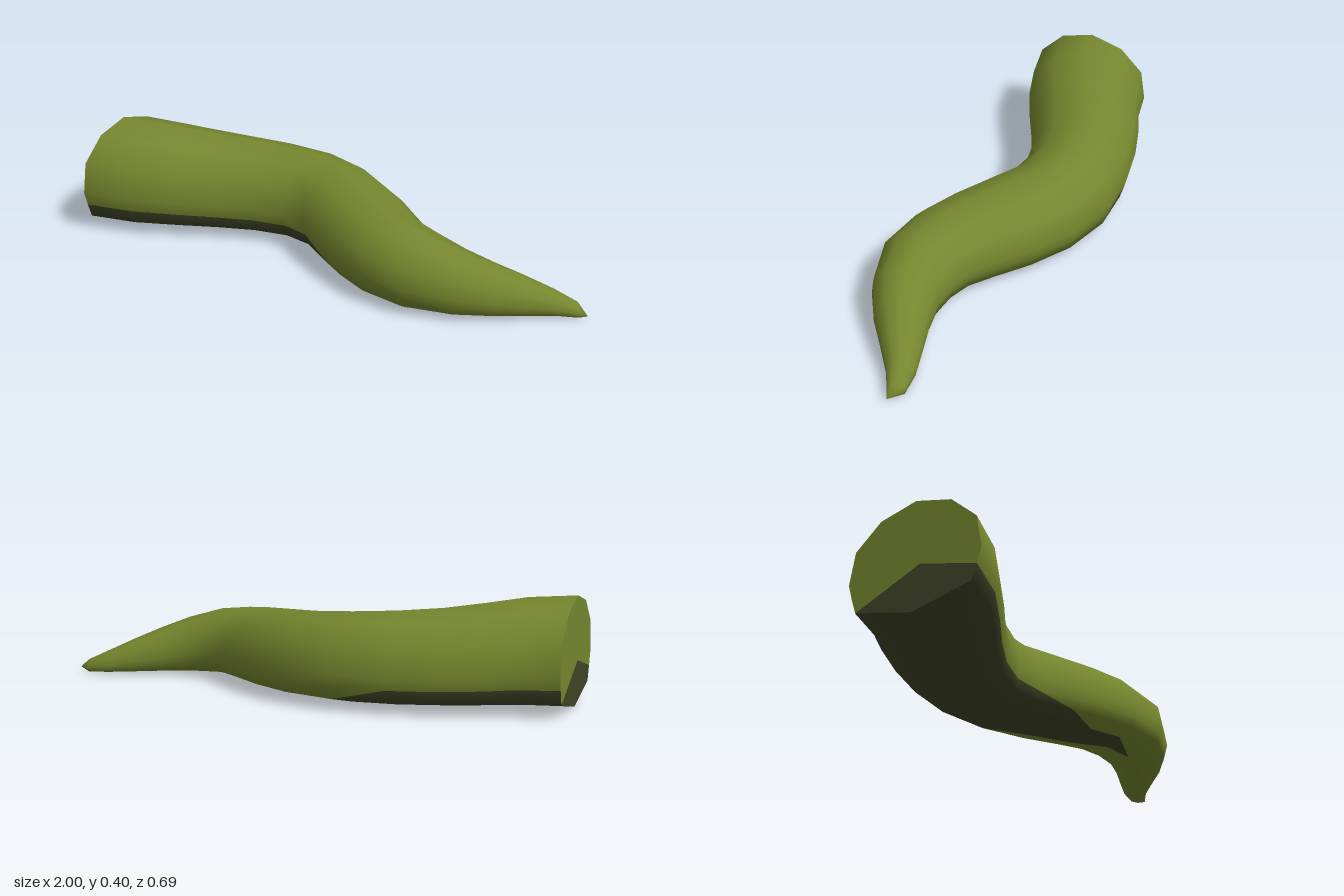
import * as THREE from 'three';

// Stations along the tail: front edge (x, z), back edge (x, z), height of the ridge,
// then the ring level where the dark belly begins on the front and on the back (8 = none)
const STATIONS = [
  [-1.0, 0.26, -0.95, -0.24, 0.405, 4, 4],
  [-0.81, 0.23, -0.8, -0.26, 0.395, 4, 4],
  [-0.64, 0.165, -0.7, -0.29, 0.376, 4, 4],
  [-0.5, 0.105, -0.54, -0.325, 0.357, 4, 4],
  [-0.36, 0.055, -0.36, -0.345, 0.345, 4, 4],
  [-0.23, 0.035, -0.16, -0.335, 0.335, 4, 5],
  [-0.13, 0.06, 0.04, -0.265, 0.322, 4, 5],
  [0.0, 0.16, 0.19, -0.165, 0.307, 5, 6],
  [0.1, 0.23, 0.3, -0.065, 0.294, 6, 6],
  [0.23, 0.3, 0.38, 0.005, 0.28, 6, 7],
  [0.41, 0.34, 0.46, 0.04, 0.262, 7, 7],
  [0.59, 0.3, 0.55, 0.058, 0.223, 8, 8],
  [0.71, 0.235, 0.64, 0.05, 0.182, 8, 8],
  [0.8, 0.17, 0.74, 0.03, 0.14, 8, 8],
  [0.9, 0.1, 0.85, 0.01, 0.09, 8, 8],
  [0.965, 0.068, 0.94, 0.01, 0.053, 8, 8],
];
const TIP = [0.995, 0.018, 0.055];

// Cross-section from ridge to belly line: sideways and upward fractions
const HALF = [
  [0, 1], [0.54, 0.91], [0.92, 0.69], [1, 0.4],
  [0.94, 0.265], [0.87, 0.13], [0.435, 0.065], [0, 0],
];
const RING = [...HALF, ...HALF.slice(1, 7).reverse().map(([s, h]) => [-s, h])];
const N = RING.length;
const BOTTOM = HALF.length - 1;

function stationPoint([fx, fz, bx, bz, height], [side, up]) {
  const t = (1 - side) / 2;
  return [fx + (bx - fx) * t, 0.003 + (height - 0.003) * up, fz + (bz - fz) * t];
}

// Geometry with group 0 for the skin and group 1 for the belly
function twoToneGeometry(points, skin, belly) {
  const geometry = new THREE.BufferGeometry();
  geometry.setAttribute('position', new THREE.Float32BufferAttribute(points.flat(), 3));
  geometry.setIndex([...skin, ...belly]);
  geometry.addGroup(0, skin.length, 0);
  geometry.addGroup(skin.length, belly.length, 1);
  geometry.computeVertexNormals();
  return geometry;
}

function tailGeometry() {
  const points = STATIONS.flatMap((station) => RING.map((p) => stationPoint(station, p)));
  const skin = [];
  const belly = [];
  const inBelly = (v) => {
    const station = STATIONS[Math.floor(v / N)];
    const i = v % N;
    return i <= BOTTOM ? i >= station[5] : N - i >= station[6];
  };
  const addFace = (...face) => (face.every(inBelly) ? belly : skin).push(...face);
  // Skin between neighbouring rings, diagonals following the belly edge
  for (let s = 0; s < STATIONS.length - 1; s++) {
    for (let i = 0; i < N; i++) {
      const a = s * N + i;
      const b = s * N + ((i + 1) % N);
      const c = a + N;
      const d = b + N;
      if (i < BOTTOM) {
        addFace(a, b, d);
        addFace(a, d, c);
      } else {
        addFace(a, b, c);
        addFace(b, d, c);
      }
    }
  }
  // Pointed tip
  const last = (STATIONS.length - 1) * N;
  points.push(TIP);
  for (let i = 0; i < N; i++) skin.push(last + i, last + ((i + 1) % N), last + N);
  return twoToneGeometry(points, skin, belly);
}

// Flat end, a fan around its centre with a dark lower part
function capGeometry() {
  const points = RING.map((p) => stationPoint(STATIONS[0], p));
  points.push(stationPoint(STATIONS[0], [0.1, 0.41]));
  const skin = [];
  const belly = [];
  for (let i = 0; i < N; i++) {
    (i >= 4 && i < 9 ? belly : skin).push(N, (i + 1) % N, i);
  }
  return twoToneGeometry(points, skin, belly);
}

export function createModel() {
  const group = new THREE.Group();
  group.name = 'tailModel';
  const skin = new THREE.MeshStandardMaterial({ color: 0x76862e });
  skin.name = 'olive green skin';
  const belly = new THREE.MeshStandardMaterial({ color: 0x3e4426 });
  belly.name = 'dark olive belly';

  const tail = new THREE.Mesh(tailGeometry(), [skin, belly]);
  tail.name = 'tail';
  const cap = new THREE.Mesh(capGeometry(), [skin, belly]);
  cap.name = 'tailEnd';
  group.add(tail, cap);
  return group;
}
